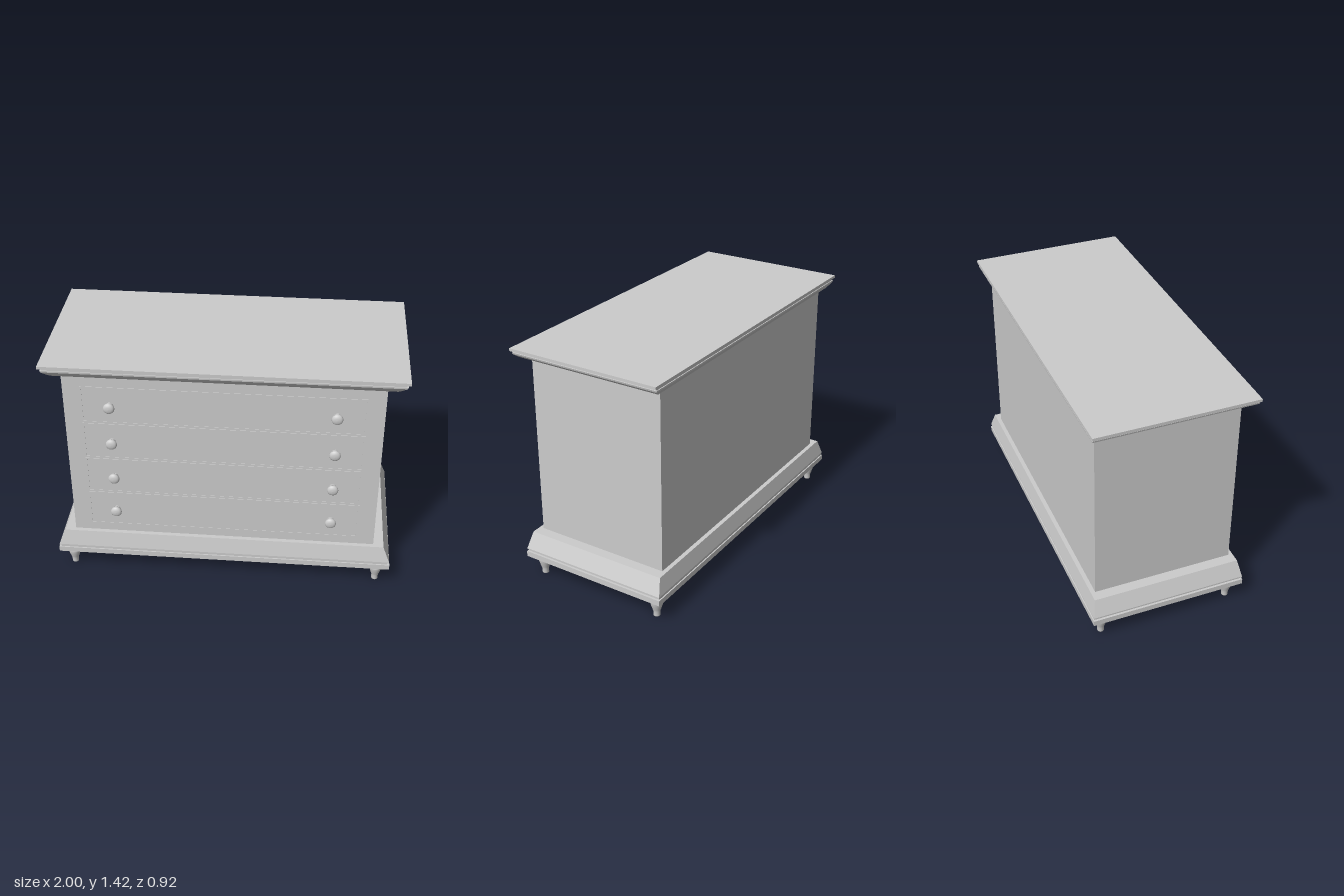
import * as THREE from 'three';

const material = new THREE.MeshStandardMaterial({ color: 0xcccccc });
const flatMaterial = new THREE.MeshStandardMaterial({ color: 0xcccccc, flatShading: true });

function add(parent, name, geometry, mat = material) {
  const mesh = new THREE.Mesh(geometry, mat);
  mesh.name = name;
  parent.add(mesh);
  return mesh;
}

// Closed solid through rectangular sections [y, halfWidth, halfDepth], bottom to top
function rectLoft(sections) {
  const pos = [], index = [];
  for (const [y, w, d] of sections) pos.push(-w, y, d, w, y, d, w, y, -d, -w, y, -d);
  for (let s = 0; s < sections.length - 1; s++) {
    for (let i = 0; i < 4; i++) {
      const a = s * 4 + i, b = s * 4 + (i + 1) % 4;
      index.push(a, b, b + 4, a, b + 4, a + 4);
    }
  }
  const t = (sections.length - 1) * 4;
  index.push(0, 2, 1, 0, 3, 2, t, t + 1, t + 2, t, t + 2, t + 3);
  const indexed = new THREE.BufferGeometry();
  indexed.setAttribute('position', new THREE.Float32BufferAttribute(pos, 3));
  indexed.setIndex(index);
  const geometry = indexed.toNonIndexed();
  geometry.computeVertexNormals();
  return geometry;
}

function lathe(points) {
  return new THREE.LatheGeometry(points.map(([r, y]) => new THREE.Vector2(r, y)), 24);
}

// Raised rim around a drawer front
function rimGeometry(w, h, border, depth) {
  const rect = (target, x, y) => {
    target.moveTo(-x, -y);
    target.lineTo(x, -y);
    target.lineTo(x, y);
    target.lineTo(-x, y);
    target.closePath();
    return target;
  };
  const shape = rect(new THREE.Shape(), w / 2, h / 2);
  shape.holes.push(rect(new THREE.Path(), w / 2 - border, h / 2 - border));
  return new THREE.ExtrudeGeometry(shape, { depth, bevelEnabled: false });
}

export function createModel() {
  const model = new THREE.Group();
  model.name = 'chestOfDrawers';

  // Carcass
  add(model, 'body', rectLoft([[0.27, 0.885, 0.41], [1.36, 0.885, 0.41]]), flatMaterial);

  // Plinth: bottom board, recess, sloping skirt
  add(model, 'plinth', rectLoft([
    [0.125, 0.988, 0.457], [0.158, 0.988, 0.457],
    [0.158, 0.975, 0.45], [0.172, 0.975, 0.45],
    [0.172, 0.985, 0.455], [0.178, 0.985, 0.455],
    [0.275, 0.945, 0.435],
  ]), flatMaterial);

  // Top: sloping cornice, recess, thin slab
  add(model, 'cornice', rectLoft([
    [1.35, 0.937, 0.433], [1.362, 0.957, 0.442], [1.382, 0.983, 0.456], [1.392, 0.986, 0.457],
    [1.392, 0.978, 0.452], [1.404, 0.978, 0.452],
    [1.404, 1.0, 0.462], [1.42, 1.0, 0.462],
  ]), flatMaterial);

  // Drawers with rims and a pair of knobs
  const rim = rimGeometry(1.576, 0.234, 0.009, 0.008);
  const panel = new THREE.BoxGeometry(1.558, 0.216, 0.008);
  const knob = lathe([
    [0.02, 0], [0.019, 0.012], [0.02, 0.018], [0.028, 0.02], [0.031, 0.026],
    [0.032, 0.032], [0.03, 0.039], [0.024, 0.045], [0.013, 0.048], [0, 0.049],
  ]);
  for (let i = 0; i < 4; i++) {
    const drawer = new THREE.Group();
    drawer.name = 'drawer' + (i + 1);
    drawer.position.set(0, 0.44 + i * 0.24, 0.41);
    model.add(drawer);
    add(drawer, 'drawerRim', rim, flatMaterial).position.z = -0.005;
    add(drawer, 'drawerPanel', panel, flatMaterial).position.z = -0.003;
    for (const side of [-1, 1]) {
      const k = add(drawer, side > 0 ? 'leftKnob' : 'rightKnob', knob);
      k.position.x = side * 0.626;
      k.rotation.x = Math.PI / 2;
    }
  }

  // Turned feet
  const foot = lathe([
    [0, 0], [0.019, 0], [0.019, 0.004], [0.02, 0.03], [0.025, 0.045], [0.033, 0.07],
    [0.037, 0.088], [0.037, 0.097], [0.033, 0.104], [0.024, 0.107], [0.023, 0.127],
  ]);
  for (const x of [-1, 1]) {
    for (const z of [-1, 1]) {
      const name = (z > 0 ? 'front' : 'back') + (x > 0 ? 'Left' : 'Right') + 'Foot';
      add(model, name, foot).position.set(x * 0.913, 0, z * 0.39);
    }
  }
  return model;
}
